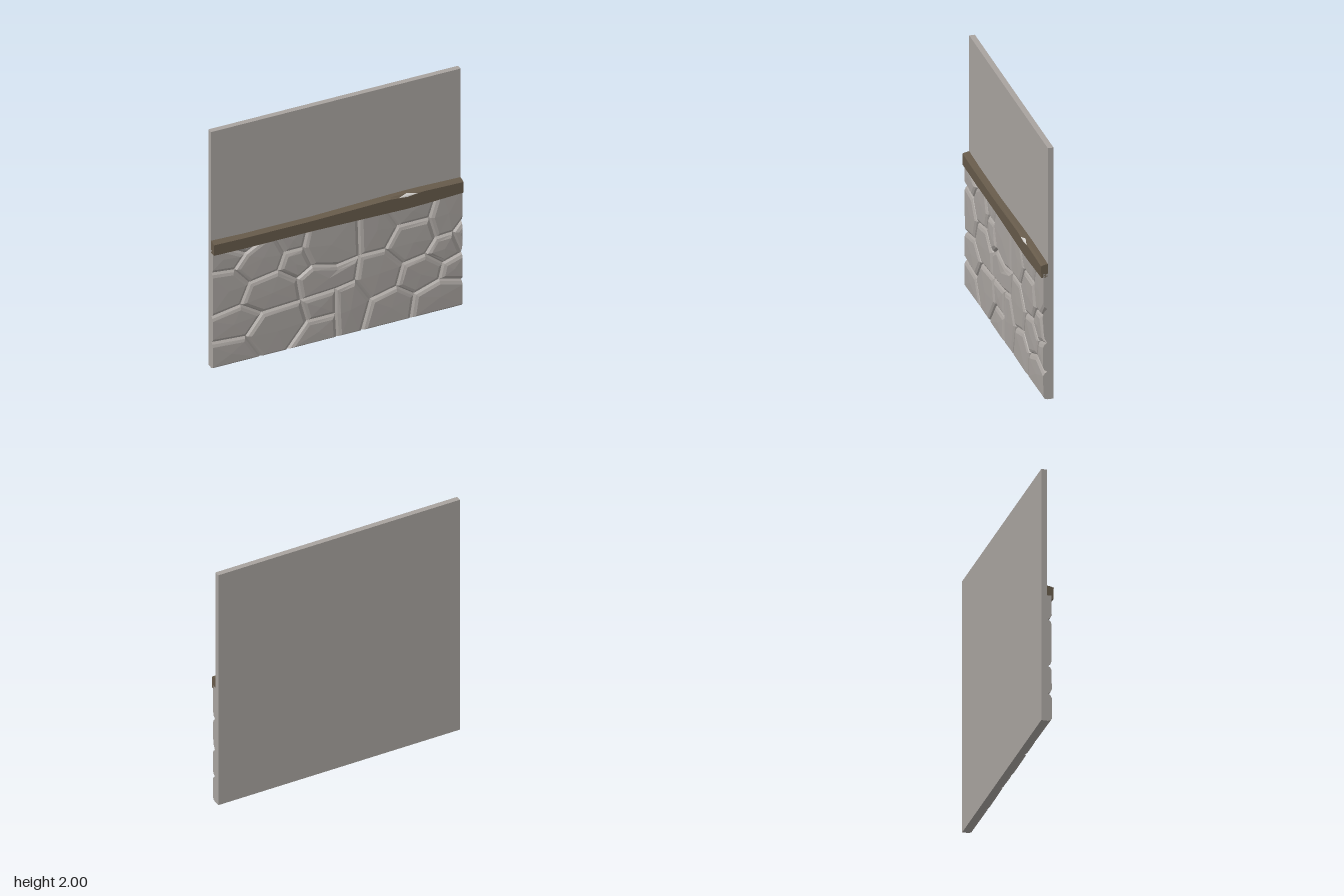
import * as THREE from 'three';

const plaster = new THREE.MeshStandardMaterial({ color: 0xa8a39f });
plaster.name = 'warm grey stone';
const wood = new THREE.MeshStandardMaterial({ color: 0x665a4a });
wood.name = 'dark brown wood';
const chipped = new THREE.MeshStandardMaterial({ color: 0xd0cecb });
chipped.name = 'pale chip';

// Corner points shared by neighbouring stones (the centre lines of the grooves)
const corners = {
  a: [-1, 0], b: [-.61, 0], c: [-.4, 0], d: [0, 0], e: [.2, 0], f: [.59, 0], g: [1, 0],
  h: [-1, .22], i: [-.73, .2], j: [-.24, .2], k: [-.01, .2], l: [.27, .25], m: [.48, .3],
  n: [.62, .2], o: [.82, .27], p: [1, .22],
  q: [-1, .44], r: [-.77, .48], s: [-.6, .37], t: [-.29, .39], u: [-.01, .41], v: [.15, .44],
  w: [.53, .48], x: [.71, .51], y: [.85, .4], A: [1, .45],
  B: [-.7, .65], C: [-.32, .58], D: [-.47, .69], E: [-.2, .66], F: [0, .61], G: [.18, .64],
  H: [.39, .64], I: [.79, .63], J: [.93, .64], K: [1, .72],
  L: [-1, .81], M: [-.82, .79], N: [-.42, .83], O: [-.27, .83], P: [.49, .81], Q: [.74, .81],
  R: [-.73, .91], S: [-1, 1], T: [-.9, 1], U: [-.57, 1], V: [-.5, 1], W: [-.23, 1],
  X: [.17, 1], Y: [.38, 1], Z: [.8, 1], 0: [1, 1],
};

// Each stone is a counter-clockwise walk around its corners
const stones = [
  'abih', 'bcjtsi', 'cdkj', 'jkut', 'delvuk', 'efnml', 'fgpon',
  'hisrq', 'rstCDB', 'tuvGFEC', 'vlmwHG', 'mnoyxw', 'opAy', 'xyAJI', 'AKJ',
  'wxIQPH', 'IJK0ZQ', 'PQZY', 'GHPYX', 'EFGXWO', 'CEOND', 'NOWV',
  'BDNVURM', 'qrBML', 'LMRTS', 'RUT',
];

// Small seeded noise in -1..1
let seed = 7;
function noise() {
  seed = (seed * 16807) % 2147483647;
  return (seed / 2147483647) * 2 - 1;
}

// Faceted skin through closed rings, with optional caps
function loft(rings, capStart, capEnd, lift = 0) {
  const pos = [];
  const tri = (...pts) => pts.forEach((pt) => pos.push(...pt));
  const cap = (ring, flip) => {
    const c = [0, 1, 2].map((k) => ring.reduce((sum, pt) => sum + pt[k], 0) / ring.length);
    c[2] += lift;
    ring.forEach((pt, i) => {
      const next = ring[(i + 1) % ring.length];
      if (flip) tri(next, pt, c);
      else tri(pt, next, c);
    });
  };
  for (let r = 0; r < rings.length - 1; r++) {
    const a = rings[r], b = rings[r + 1];
    for (let i = 0; i < a.length; i++) {
      const n = (i + 1) % a.length;
      tri(a[i], a[n], b[n]);
      tri(a[i], b[n], b[i]);
    }
  }
  if (capStart) cap(rings[0], true);
  if (capEnd) cap(rings[rings.length - 1], false);
  const geometry = new THREE.BufferGeometry();
  geometry.setAttribute('position', new THREE.Float32BufferAttribute(pos, 3));
  geometry.computeVertexNormals();
  return geometry;
}

// Move an outline inward; sides and top of the panel stay flush
function inset(outline, distance) {
  const edges = outline.map((p, i) => {
    const q = outline[(i + 1) % outline.length];
    const dx = q[0] - p[0], dy = q[1] - p[1], len = Math.hypot(dx, dy);
    const flush = (Math.abs(p[0]) === 1 && p[0] === q[0]) || (p[1] === 1 && q[1] === 1);
    const bottom = p[1] === 0 && q[1] === 0;
    return { nx: -dy / len, ny: dx / len, d: flush ? 0 : distance * (bottom ? 0.6 : 1) };
  });
  return outline.map((p, i) => {
    const e = edges[(i + edges.length - 1) % edges.length], f = edges[i];
    const det = e.nx * f.ny - e.ny * f.nx;
    if (Math.abs(det) < 0.05) return [p[0] + f.nx * f.d, p[1] + f.ny * f.d];
    return [
      p[0] + (e.d * f.ny - f.d * e.ny) / det,
      p[1] + (f.d * e.nx - e.d * f.nx) / det,
    ];
  });
}

function makeStone(walk) {
  const outline = [...walk].map((key) => corners[key]);
  const ring = (distance, z, rough) =>
    inset(outline, distance).map(([x, y]) => [x, y, z + rough * noise()]);
  return loft([
    ring(0, -0.004, 0),
    ring(0, 0.002, 0),
    ring(0.013, 0.021, 0.001),
    ring(0.034, 0.031, 0.003),
  ], false, true, 0.003);
}

export function createModel() {
  const group = new THREE.Group();
  const add = (name, geometry, material, parent = group) => {
    const mesh = new THREE.Mesh(geometry, material);
    mesh.name = name;
    parent.add(mesh);
    return mesh;
  };

  // Flat wall panel
  add('wallPanel', new THREE.BoxGeometry(2, 2, 0.043), plaster).position.set(0, 1, -0.0255);

  // Stone cladding on the lower half
  const cladding = new THREE.Group();
  cladding.name = 'stoneCladding';
  group.add(cladding);
  stones.forEach((walk, i) => add(`stone${i + 1}`, makeStone(walk), plaster, cladding));

  // Hewn rail: x, bottom, front top edge, back top edge
  const sections = [
    [-1, 0.976, 1.066, 1.078], [-0.75, 0.972, 1.061, 1.07], [-0.2, 0.972, 1.06, 1.068],
    [0.42, 0.96, 1.072, 1.085], [0.55, 0.957, 1.058, 1.087], [0.68, 0.96, 1.072, 1.086],
    [1, 0.973, 1.064, 1.078],
  ];
  const rail = sections.map(([x, low, front, back]) => [
    [x, low, -0.004], [x, back, -0.004], [x, back - 0.006, 0.028], [x, front, 0.047], [x, low, 0.045],
  ]);
  add('woodRail', loft(rail, true, true), wood);

  // Pale chip in the rail's top front edge
  const chip = [[0.48, 1.068, 0.047], [0.55, 1.06, 0.0475], [0.63, 1.069, 0.047], [0.55, 1.083, 0.03]];
  add('railChip', loft([chip], false, true, 0.002), chipped);

  return group;
}
